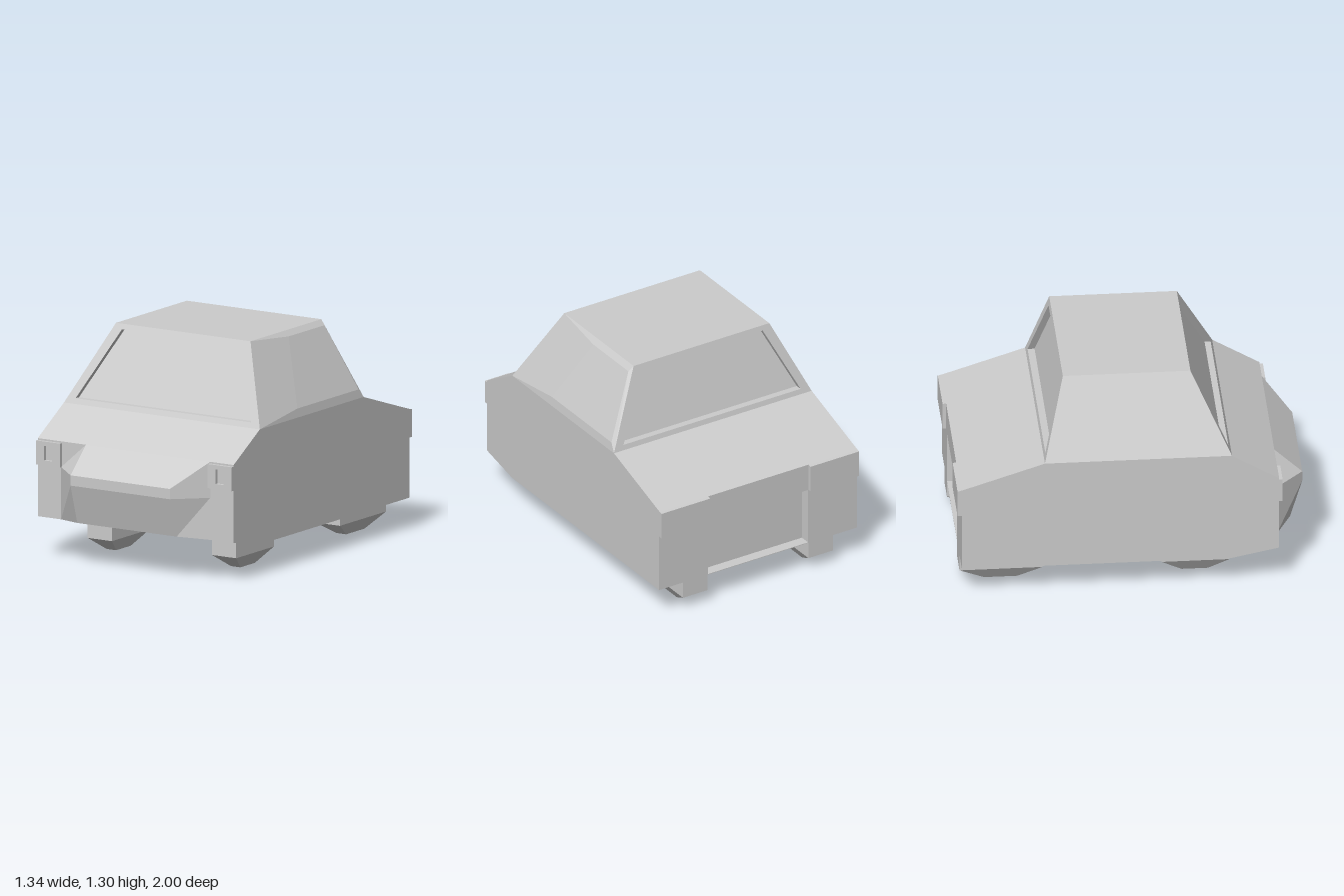
import * as THREE from 'three';

const material = new THREE.MeshStandardMaterial({ color: 0xcccccc, flatShading: true, side: THREE.DoubleSide });

function add(group, name, geometry) {
  const mesh = new THREE.Mesh(geometry, material);
  mesh.name = name;
  group.add(mesh);
}

// Side profile of [z, y] points, swept from x0 to x1
function prism(profile, x0, x1) {
  const shape = new THREE.Shape(profile.map(p => new THREE.Vector2(...p)));
  const g = new THREE.ExtrudeGeometry(shape, { depth: x1 - x0, bevelEnabled: false });
  return g.rotateY(-Math.PI / 2).translate(x1, 0, 0);
}

// Joins successive closed loops of points with quads and caps the last one
function loft(loops) {
  const pos = [];
  const quad = (a, b, c, d) => pos.push(...a, ...b, ...c, ...a, ...c, ...d);
  for (let k = 0; k + 1 < loops.length; k++) {
    const a = loops[k], b = loops[k + 1];
    a.forEach((p, i) => {
      const j = (i + 1) % a.length;
      quad(p, a[j], b[j], b[i]);
    });
  }
  quad(...loops[loops.length - 1]);
  const g = new THREE.BufferGeometry();
  g.setAttribute('position', new THREE.Float32BufferAttribute(pos, 3));
  g.computeVertexNormals();
  return g;
}

// Sloping end of the cabin with a recessed window; dir is +1 front, -1 rear
function windowWall(zLow, zHigh, dir, depth) {
  const zAt = y => zLow + (zHigh - zLow) * (y - 0.85) / 0.45;
  const loop = (y0, y1, w0, w1, inset) => [
    [-dir * w0, y0, zAt(y0) - dir * inset], [dir * w0, y0, zAt(y0) - dir * inset],
    [dir * w1, y1, zAt(y1) - dir * inset], [-dir * w1, y1, zAt(y1) - dir * inset]];
  return loft([loop(0.85, 1.3, 0.67, 0.46, 0), loop(0.88, 1.27, 0.6, 0.41, 0), loop(0.88, 1.27, 0.6, 0.41, depth)]);
}

// Block foot: straight at the top, tapering to a small sole
function wheel(x, z0, z1, s0, s1) {
  const loop = (y, w, a, b) => [[x - w, y, a], [x + w, y, a], [x + w, y, b], [x - w, y, b]];
  return loft([loop(0.18, 0.083, z0, z1), loop(0.08, 0.083, z0, z1), loop(0, 0.032, s0, s1)]);
}

export function createModel() {
  const car = new THREE.Group();
  car.name = 'car';

  // Main body
  add(car, 'body', prism([[0.57, 0.18], [0.84, 0.235], [0.84, 0.69], [0.57, 0.85],
    [-0.5, 0.85], [-0.91, 0.717], [-0.91, 0.18]], -0.67, 0.67));

  // Projecting nose with chamfered corners
  const noseLoop = (yCorner, yMid, d) => [[-0.51, yCorner, 0.84], [0.51, yCorner, 0.84],
    [0.34, yMid, 0.84 + d], [-0.34, yMid, 0.84 + d]];
  add(car, 'nose', loft([noseLoop(0.69, 0.69, 0), noseLoop(0.54, 0.54, 0.16),
    noseLoop(0.48, 0.48, 0.16), noseLoop(0.235, 0.25, 0.09)]));

  // Cabin: roof, recessed windows and sides
  add(car, 'roof', loft([[[-0.46, 1.3, 0.35], [0.46, 1.3, 0.35], [0.46, 1.3, -0.38], [-0.46, 1.3, -0.38]]]));
  add(car, 'windscreen', windowWall(0.57, 0.35, 1, 0.035));
  add(car, 'rearWindow', windowWall(-0.5, -0.38, -1, 0.04));
  const sidePoint = (y, z, out = 0) => [0.67 - (y - 0.85) * 0.21 / 0.45 + out, y, z];
  const side = [sidePoint(0.85, 0.57), sidePoint(0.85, -0.5), sidePoint(1.3, -0.38), sidePoint(1.3, 0.35)];
  const panel = [sidePoint(0.9, 0.17, 0.015), sidePoint(0.9, -0.46, 0.015),
    sidePoint(1.27, -0.37, 0.015), sidePoint(1.27, 0, 0.015)];
  add(car, 'leftCabinSide', loft([side, panel]));
  add(car, 'rightCabinSide', loft([side.map(([x, y, z]) => [-x, y, z]).reverse()]));

  // Tail lip above a recessed rear panel, with a thin ledge below it
  add(car, 'tailLip', prism([[-0.91, 0.53], [-0.91, 0.717], [-0.98, 0.695], [-0.98, 0.53]], -0.67, 0.67));
  add(car, 'rearLedge', prism([[-0.91, 0.18], [-0.91, 0.184], [-0.975, 0.184], [-0.975, 0.18]], -0.34, 0.34));

  for (const s of [1, -1]) {
    const label = s > 0 ? 'left' : 'right';
    const x0 = s > 0 ? 0.34 : -0.67, x1 = x0 + 0.33;

    // Rear corner post and tail block
    add(car, label + 'RearPost', prism([[-0.91, 0.18], [-0.91, 0.53], [-0.975, 0.53], [-0.975, 0.18]], x0, x1));
    add(car, label + 'TailBlock', prism([[-0.98, 0.53], [-0.98, 0.695], [-1, 0.69], [-1, 0.53]], x0, x1));

    // Headlight block with a small rectangular socket
    const rect = (Kind, a, b, c, d) => new Kind([[a, c], [b, c], [b, d], [a, d]].map(p => new THREE.Vector2(...p)));
    const block = rect(THREE.Shape, s * 0.505, s * 0.67, 0.54, 0.68);
    block.holes.push(rect(THREE.Path, s * 0.56, s * 0.615, 0.57, 0.655));
    add(car, label + 'Headlight', new THREE.ExtrudeGeometry(block, { depth: 0.02, bevelEnabled: false }).translate(0, 0, 0.84));

    // Wheels
    add(car, label + 'FrontWheel', wheel(s * 0.425, 0.18, 0.57, 0.3, 0.45));
    add(car, label + 'RearWheel', wheel(s * 0.425, -0.975, -0.5, -0.83, -0.64));
  }
  return car;
}
